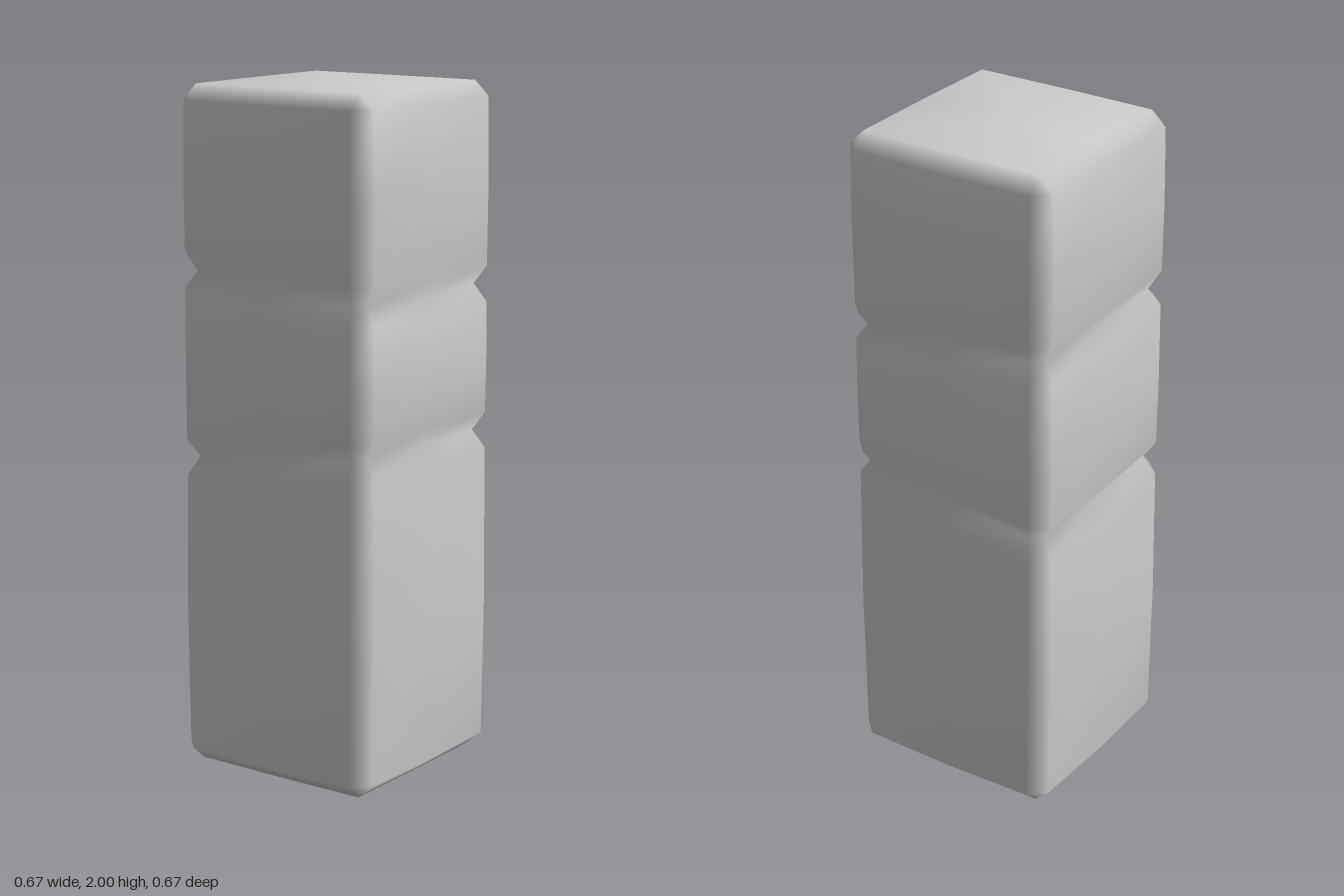
import * as THREE from 'three';
import { mergeVertices } from 'three/addons/utils/BufferGeometryUtils.js';

// Chamfered square cross-section, counter-clockwise from above.
// h: half width at the chamfer, k: where the chamfer starts, m: half width mid-side
function section(h, k, m) {
  const pts = [];
  for (let q = 0; q < 4; q++) {
    for (const [a, b] of [[h, -k], [m, 0], [h, k]]) {
      const c = [1, 0, -1, 0][q], s = [0, 1, 0, -1][q];
      pts.push([a * c - b * s, -(a * s + b * c)]);
    }
  }
  return pts;
}

// Rows from bottom to top: height, h, k, m, slope along z, slope along x
const F = [0.328, 0.28, 0.335];
const G = [0.295, 0.262, 0.3];
const LOW = [0.12, -0.02], HIGH = [-0.075, -0.01];
const rows = [
  [0.012, 0.28, 0.28, 0.283, 0, 0],
  [0.055, ...F, 0, 0],
  [0.48, 0.332, 0.282, 0.335, 0, 0],
  [0.895, ...F, ...LOW],
  [0.95, ...G, ...LOW],
  [1.0, ...F, ...LOW],
  [1.19, 0.33, 0.28, 0.334, 0.02, 0],
  [1.385, ...F, ...HIGH],
  [1.435, ...G, ...HIGH],
  [1.49, ...F, ...HIGH],
  [1.72, 0.33, 0.28, 0.334, 0, 0],
  [1.945, 0.326, 0.28, 0.332, 0, 0],
  [1.988, 0.28, 0.28, 0.283, 0, 0],
];

function pillarGeometry() {
  const pos = [], idx = [], n = 12;
  for (const [y, h, k, m, sz, sx] of rows) {
    for (const [x, z] of section(h, k, m)) pos.push(x, y + sz * z + sx * x, z);
  }
  const last = (rows.length - 1) * n, bottom = rows.length * n, top = bottom + 1;
  pos.push(0, 0, 0, 0, 2, 0);
  for (let j = 0; j < n; j++) {
    const j2 = (j + 1) % n;
    for (let r = 0; r < rows.length - 1; r++) {
      const a = r * n + j, b = r * n + j2;
      idx.push(a, b, b + n, a, b + n, a + n);
    }
    // Gently domed end caps
    idx.push(top, last + j, last + j2, bottom, j2, j);
  }
  const g = new THREE.BufferGeometry();
  g.setAttribute('position', new THREE.Float32BufferAttribute(pos, 3));
  g.setIndex(idx);
  const merged = mergeVertices(g, 1e-4);
  merged.computeVertexNormals();
  return merged;
}

export function createModel() {
  const group = new THREE.Group();
  group.name = 'pillar';
  // Square pillar with two slanted grooves
  const body = new THREE.Mesh(pillarGeometry(), new THREE.MeshStandardMaterial({ color: 0xcccccc }));
  body.name = 'groovedPillar';
  group.add(body);
  return group;
}
